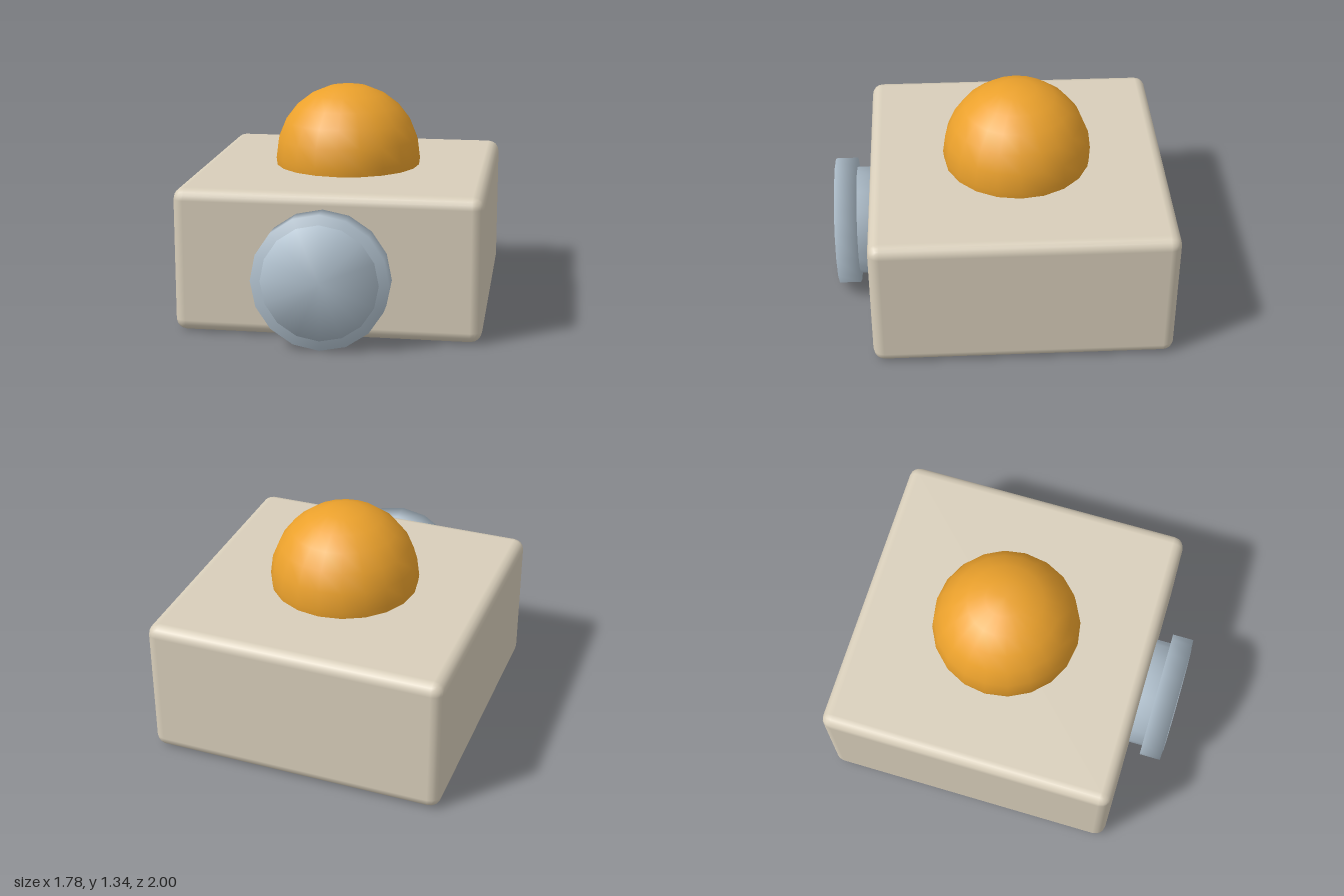
import * as THREE from 'three';
import { RoundedBoxGeometry } from 'three/addons/geometries/RoundedBoxGeometry.js';
import { mergeVertices } from 'three/addons/utils/BufferGeometryUtils.js';

const cream = new THREE.MeshStandardMaterial({ color: 0xd8ceba });
const amber = new THREE.MeshStandardMaterial({ color: 0xeba12c });
const steel = new THREE.MeshStandardMaterial({ color: 0xb0c0cd });

function addPart(group, name, geometry, material, x, y, z) {
  const mesh = new THREE.Mesh(geometry, material);
  mesh.name = name;
  mesh.position.set(x, y, z);
  group.add(mesh);
}

// 16-sided disc along z, shaded smoothly across its rim
function softDisc(radius, depth) {
  const geometry = new THREE.CylinderGeometry(radius, radius, depth, 16);
  geometry.rotateX(Math.PI / 2);
  geometry.deleteAttribute('uv');
  geometry.deleteAttribute('normal');
  const smooth = mergeVertices(geometry);
  smooth.computeVertexNormals();
  return smooth;
}

export function createModel() {
  const group = new THREE.Group();
  group.name = 'model';

  // Body block with rounded edges
  addPart(group, 'body', new RoundedBoxGeometry(1.78, 0.845, 1.78, 2, 0.067), cream, 0, 0.4225, -0.11);

  // Ball sunk into the top
  addPart(group, 'topDome', new THREE.SphereGeometry(0.445, 20, 12), amber, 0, 0.89, -0.11);

  // Front knob: a core running through a wider rim
  addPart(group, 'knobCore', softDisc(0.333, 0.3), steel, 0, 0.39, 0.85);
  addPart(group, 'knobRim', softDisc(0.39, 0.13), steel, 0, 0.39, 0.93);

  return group;
}
